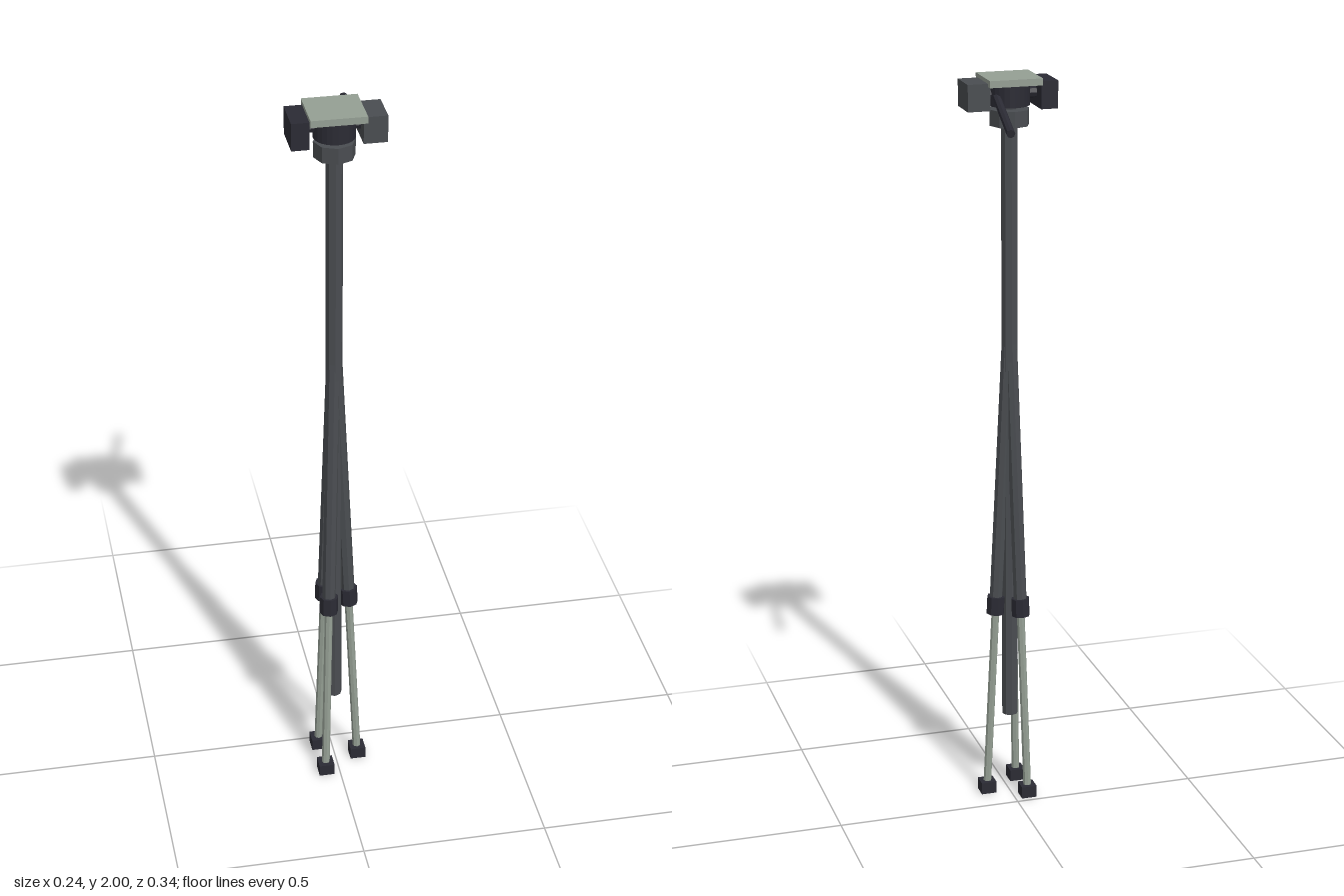
import * as THREE from 'three';

const AXIS_X = -0.005, AXIS_Z = 0.092;

export function createModel() {
  const model = new THREE.Group();
  model.name = 'tripod';

  const material = (name, color) => {
    const m = new THREE.MeshStandardMaterial({ color, flatShading: true });
    m.name = name;
    return m;
  };
  const black = material('black plastic', 0x2b2b34);
  const grey = material('dark grey metal', 0x4a4d51);
  const silver = material('pale metal', 0x959f94);

  const add = (name, geometry, mat) => {
    const mesh = new THREE.Mesh(geometry, mat);
    mesh.name = name;
    model.add(mesh);
    return mesh;
  };
  // Rod between two points
  const rod = (name, a, b, radius, sides, mat) => {
    const dir = b.clone().sub(a);
    const mesh = add(name, new THREE.CylinderGeometry(radius, radius, dir.length(), sides), mat);
    mesh.position.copy(a).add(b).multiplyScalar(0.5);
    mesh.quaternion.setFromUnitVectors(new THREE.Vector3(0, 1, 0), dir.normalize());
    return mesh;
  };
  // Box from its lowest and highest corners
  const box = (name, x0, y0, z0, x1, y1, z1, mat) => {
    const mesh = add(name, new THREE.BoxGeometry(x1 - x0, y1 - y0, z1 - z0), mat);
    mesh.position.set((x0 + x1) / 2, (y0 + y1) / 2, (z0 + z1) / 2);
  };
  const onAxis = (y) => new THREE.Vector3(AXIS_X, y, AXIS_Z);

  // Centre column and head
  rod('centreColumn', onAxis(0.23), onAxis(1.93), 0.022, 8, grey);
  rod('collar', onAxis(1.873), onAxis(1.915), 0.053, 8, grey);
  rod('headDrum', onAxis(1.925), onAxis(1.983), 0.053, 24, black);
  box('topPlate', -0.075, 1.982, 0.026, 0.065, 2, 0.157, silver);
  box('rightHeadBlock', -0.12, 1.918, 0.041, -0.075, 1.99, 0.143, black);
  box('leftHeadBlock', 0.058, 1.92, 0.045, 0.118, 1.99, 0.139, grey);
  rod('headAxle', new THREE.Vector3(-0.08, 1.955, AXIS_Z), new THREE.Vector3(0.06, 1.955, AXIS_Z), 0.015, 8, black);
  rod('panHandle', new THREE.Vector3(0.032, 1.953, 0.09), new THREE.Vector3(0.068, 1.904, -0.167), 0.011, 8, black);

  // Three folded legs, leaning slightly outwards
  for (let i = 0; i < 3; i++) {
    const angle = (i * Math.PI * 2) / 3;
    const onLeg = (y) => {
      const r = 0.066 - 0.049 * (y - 0.02);
      return new THREE.Vector3(AXIS_X + r * Math.cos(angle), y, AXIS_Z + r * Math.sin(angle));
    };
    rod('upperLeg', onLeg(0.56), onLeg(1.34), 0.018, 8, grey);
    rod('legClamp', onLeg(0.53), onLeg(0.58), 0.025, 8, black);
    rod('lowerLeg', onLeg(0.02), onLeg(0.57), 0.011, 8, silver);
    const foot = add('foot', new THREE.BoxGeometry(0.042, 0.033, 0.042), black);
    foot.position.copy(onLeg(0.02)).setY(0.0165);
  }

  return model;
}
